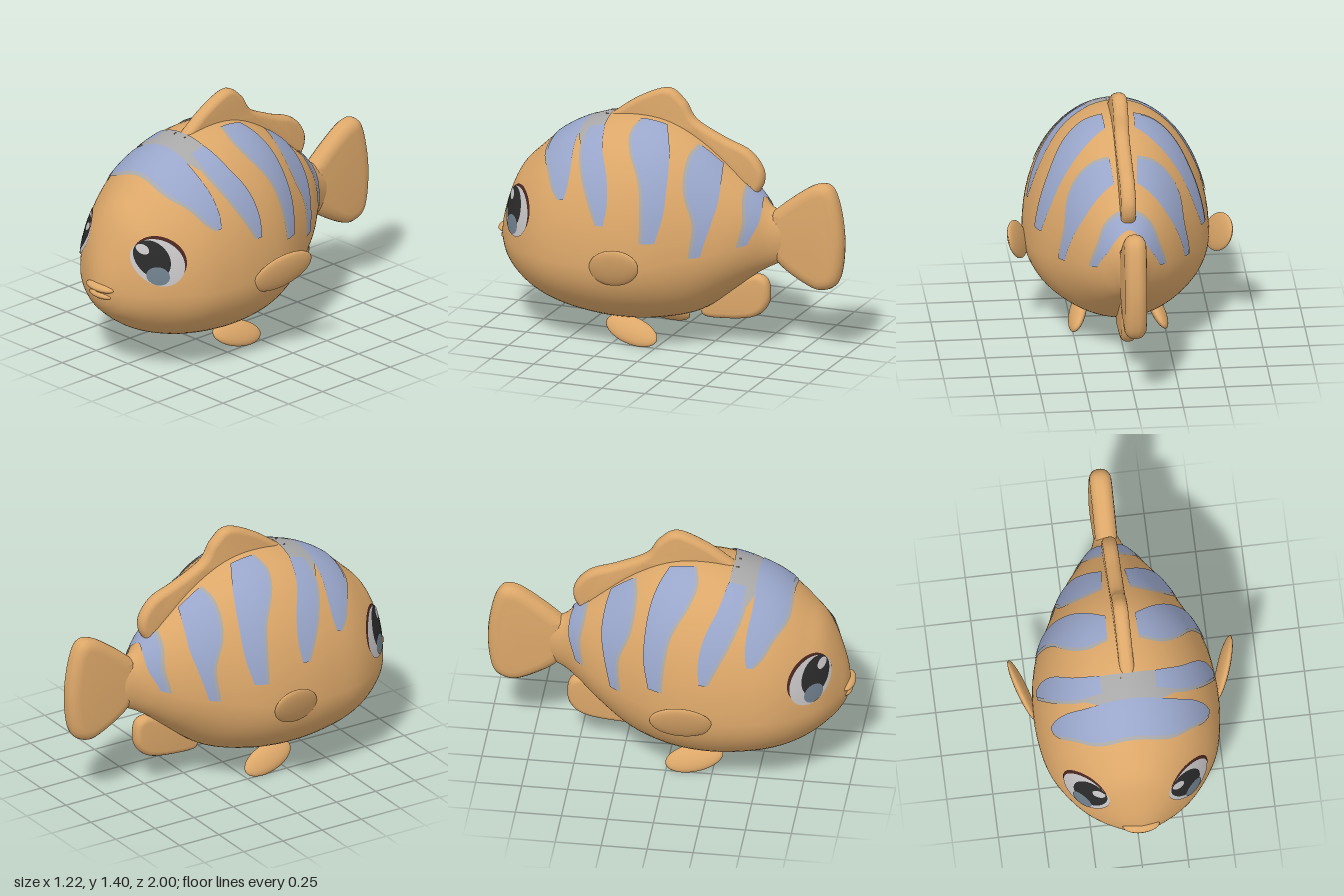
import * as THREE from 'three';
import { mergeVertices, toCreasedNormals } from 'three/addons/utils/BufferGeometryUtils.js';

const mat = (name, color) => new THREE.MeshStandardMaterial({ name, color, side: THREE.DoubleSide });

// Smooth interpolation through table rows: [parameter, value, value, ...]
function smoothTable(rows) {
  const n = rows[0].length - 1;
  return new THREE.CubicInterpolant(rows.map(r => r[0]), rows.flatMap(r => r.slice(1)), n, new Float32Array(n));
}

// Body stations: z, top, bottom, height of widest point, half width
const sections = smoothTable([
  [-0.72, 0.72, 0.56, 0.64, 0.03], [-0.66, 0.77, 0.51, 0.64, 0.06], [-0.58, 0.80, 0.47, 0.64, 0.095],
  [-0.5, 0.88, 0.42, 0.62, 0.165], [-0.4, 0.97, 0.34, 0.59, 0.25], [-0.2, 1.13, 0.19, 0.55, 0.37],
  [0, 1.225, 0.13, 0.52, 0.465], [0.2, 1.245, 0.11, 0.5, 0.5], [0.4, 1.21, 0.12, 0.5, 0.495],
  [0.6, 1.12, 0.16, 0.5, 0.45], [0.75, 0.995, 0.22, 0.5, 0.36], [0.86, 0.87, 0.30, 0.5, 0.255],
  [0.93, 0.70, 0.37, 0.5, 0.14], [0.96, 0.59, 0.43, 0.5, 0.07], [0.975, 0.5, 0.5, 0.5, 0],
]);

// Point on the body at z and angle from the ridge
function skin(z, a) {
  const [top, bottom, mid, w] = sections.evaluate(z);
  const c = Math.cos(a);
  return new THREE.Vector3(w * Math.sin(a), mid + c * (c > 0 ? top - mid : mid - bottom), z);
}

// The same point lifted off the surface along its normal
function lifted(z, a, off) {
  const e = 0.004, p = skin(z, a);
  const dz = skin(z + e, a).sub(skin(z - e, a));
  const da = skin(z, a + e).sub(skin(z, a - e));
  return p.addScaledVector(dz.cross(da).normalize(), off);
}

// Grid surface from a function of u, v in 0..1
function grid(fn, nu, nv) {
  const pos = [], idx = [];
  for (let i = 0; i <= nu; i++)
    for (let j = 0; j <= nv; j++) pos.push(...fn(i / nu, j / nv).toArray());
  for (let i = 0; i < nu; i++)
    for (let j = 0; j < nv; j++) {
      const a = i * (nv + 1) + j, b = a + nv + 1;
      idx.push(a, b, a + 1, b, b + 1, a + 1);
    }
  let geo = new THREE.BufferGeometry();
  geo.setAttribute('position', new THREE.Float32BufferAttribute(pos, 3));
  geo.setIndex(idx);
  geo = mergeVertices(geo, 1e-5);
  geo.computeVertexNormals();
  return geo;
}

// Painted band on one flank; rows: angle, front z, back z
function stripeGeometry(rows, side, off, widen) {
  const edges = smoothTable(rows);
  const a0 = rows[0][0], a1 = rows[rows.length - 1][0];
  return grid((u, v) => {
    const a = a0 + (a1 - a0) * v;
    const [front, back] = edges.evaluate(a);
    const p = lifted(back + (front + widen - back) * u, a, off);
    p.x *= side;
    return p;
  }, 12, 28);
}

// Painted ellipse on one cheek, sized in the z-y plane
function spotGeometry([cz, cy, rz, ry], side, off) {
  return grid((u, v) => {
    const t = v * Math.PI * 2;
    const z = cz + rz * u * Math.cos(t), y = cy + ry * u * Math.sin(t);
    const [top, bottom, mid] = sections.evaluate(z);
    const c = (y - mid) / (y > mid ? top - mid : mid - bottom);
    const p = lifted(z, Math.acos(THREE.MathUtils.clamp(c, -0.98, 0.98)), off);
    p.x *= side;
    return p;
  }, 8, 40);
}

// Upright fin on the centre line, outline in (z, y), with rounded rims
function finGeometry(points, half, rim) {
  const [first, ...rest] = points.map(p => new THREE.Vector2(...p));
  const shape = new THREE.Shape().moveTo(first.x, first.y).splineThru([...rest, first]);
  const geo = new THREE.ExtrudeGeometry(shape, {
    depth: half * 0.3, bevelThickness: half * 0.85, bevelSize: rim, bevelOffset: -rim,
    bevelSegments: 4, curveSegments: 44,
  });
  geo.translate(0, 0, -half * 0.15).rotateY(-Math.PI / 2);
  return toCreasedNormals(geo, 0.9);
}

export function createModel() {
  const fish = new THREE.Group();
  fish.name = 'fish';
  const orange = mat('orange skin', 0xdca769);
  const blue = mat('blue stripe', 0x99a6ca);
  const grey = mat('pale stripe', 0xa9a8a8);
  const white = mat('eye white', 0xc6c3c4);
  const black = mat('pupil black', 0x2a2a2b);
  const slate = mat('iris slate', 0x6f7f8c);
  const brown = mat('eyelid brown', 0x4a2620);

  const add = (name, geo, material) => {
    const m = new THREE.Mesh(geo, material);
    m.name = name;
    fish.add(m);
    return m;
  };
  const ellipsoid = (name, center, radii) => {
    const m = add(name, new THREE.SphereGeometry(1, 28, 18), orange);
    m.position.set(...center);
    m.scale.set(...radii);
    return m;
  };

  // Body, with rings packed closer at the nose
  add('body', grid((u, v) => skin(-0.72 + 1.695 * Math.sin(u * Math.PI / 2), v * Math.PI * 2), 90, 72), orange);

  // Lips
  ellipsoid('upperLip', [0, 0.512, 0.953], [0.10, 0.025, 0.046]);
  ellipsoid('lowerLip', [0, 0.468, 0.945], [0.085, 0.022, 0.04]);

  // Centre fins
  add('dorsalFin', finGeometry([[0.38, 1.2], [0.2, 1.33], [0.03, 1.4], [-0.07, 1.34], [-0.14, 1.24],
    [-0.3, 1.16], [-0.45, 1.1], [-0.53, 1.0], [-0.52, 0.9], [-0.44, 0.86], [-0.2, 1.03], [0.1, 1.15]], 0.04, 0.03), orange);
  add('tailFin', finGeometry([[-0.58, 0.77], [-0.7, 0.87], [-0.84, 0.96], [-0.93, 0.95], [-0.98, 0.82],
    [-1, 0.62], [-0.97, 0.43], [-0.88, 0.37], [-0.77, 0.4], [-0.62, 0.5], [-0.57, 0.63]], 0.06, 0.06), orange);
  add('analFin', finGeometry([[-0.4, 0.38], [-0.5, 0.41], [-0.56, 0.37], [-0.56, 0.25], [-0.48, 0.17],
    [-0.3, 0.14], [-0.18, 0.15], [-0.2, 0.25]], 0.04, 0.03), orange);

  // Stripes from ridge to belly
  const stripes = [
    [[0, 0.65, 0.47], [0.5, 0.64, 0.47], [0.8, 0.57, 0.45], [0.98, 0.52, 0.45], [1.06, 0.48, 0.46]],
    [[0.3, 0.42, 0.33], [0.6, 0.41, 0.29], [0.9, 0.35, 0.22], [1.1, 0.29, 0.2], [1.25, 0.24, 0.21]],
    [[0.17, 0.13, 0], [0.4, 0.15, -0.05], [0.6, 0.12, -0.08], [0.9, 0.03, -0.1], [1.15, 0, -0.1], [1.38, -0.01, -0.07]],
    [[0.2, -0.2, -0.32], [0.5, -0.18, -0.34], [0.9, -0.2, -0.35], [1.2, -0.26, -0.33], [1.55, -0.25, -0.29]],
    [[0, -0.46, -0.53], [0.6, -0.47, -0.545], [1.1, -0.49, -0.54], [1.55, -0.47, -0.5]],
  ];
  const saddle = [[0, 0.48, 0.34], [0.3, 0.48, 0.33], [0.5, 0.44, 0.32], [0.62, 0.4, 0.33]];

  // Eye layers from back to front: z, y, z radius, y radius
  const eyeLayers = [
    ['eyelid', [0.775, 0.71, 0.1, 0.12], brown],
    ['eyeWhite', [0.787, 0.69, 0.1, 0.125], white],
    ['pupil', [0.81, 0.71, 0.065, 0.098], black],
    ['iris', [0.805, 0.622, 0.045, 0.05], slate],
    ['eyeGlint', [0.838, 0.762, 0.02, 0.026], white],
  ];

  for (const side of [1, -1]) {
    const label = side > 0 ? 'left' : 'right';
    stripes.forEach((rows, i) => {
      add(`${label}StripeFringe${i + 1}`, stripeGeometry(rows, side, 0.004, 0.018), grey);
      add(`${label}Stripe${i + 1}`, stripeGeometry(rows, side, 0.007, 0), blue);
    });
    add(`${label}Saddle`, stripeGeometry(saddle, side, 0.0055, 0), grey);
    eyeLayers.forEach(([name, spot, material], i) =>
      add(`${label}${name}`, spotGeometry(spot, side, 0.003 + i * 0.0015), material));

    // Paired fins: long axis along z, turned toward the tip, then rolled
    const pectoral = ellipsoid(`${label}PectoralFin`, [side * 0.545, 0.53, 0.12], [0.028, 0.105, 0.18]);
    pectoral.lookAt(side * 0.655, 0.65, -0.18);
    pectoral.rotateZ(side * 0.3);
    const pelvic = ellipsoid(`${label}PelvicFin`, [side * 0.215, 0.075, 0.15], [0.035, 0.075, 0.16]);
    pelvic.lookAt(side * 0.255, 0.01, -0.12);
    pelvic.rotateZ(-side * 0.6);
  }
  return fish;
}
